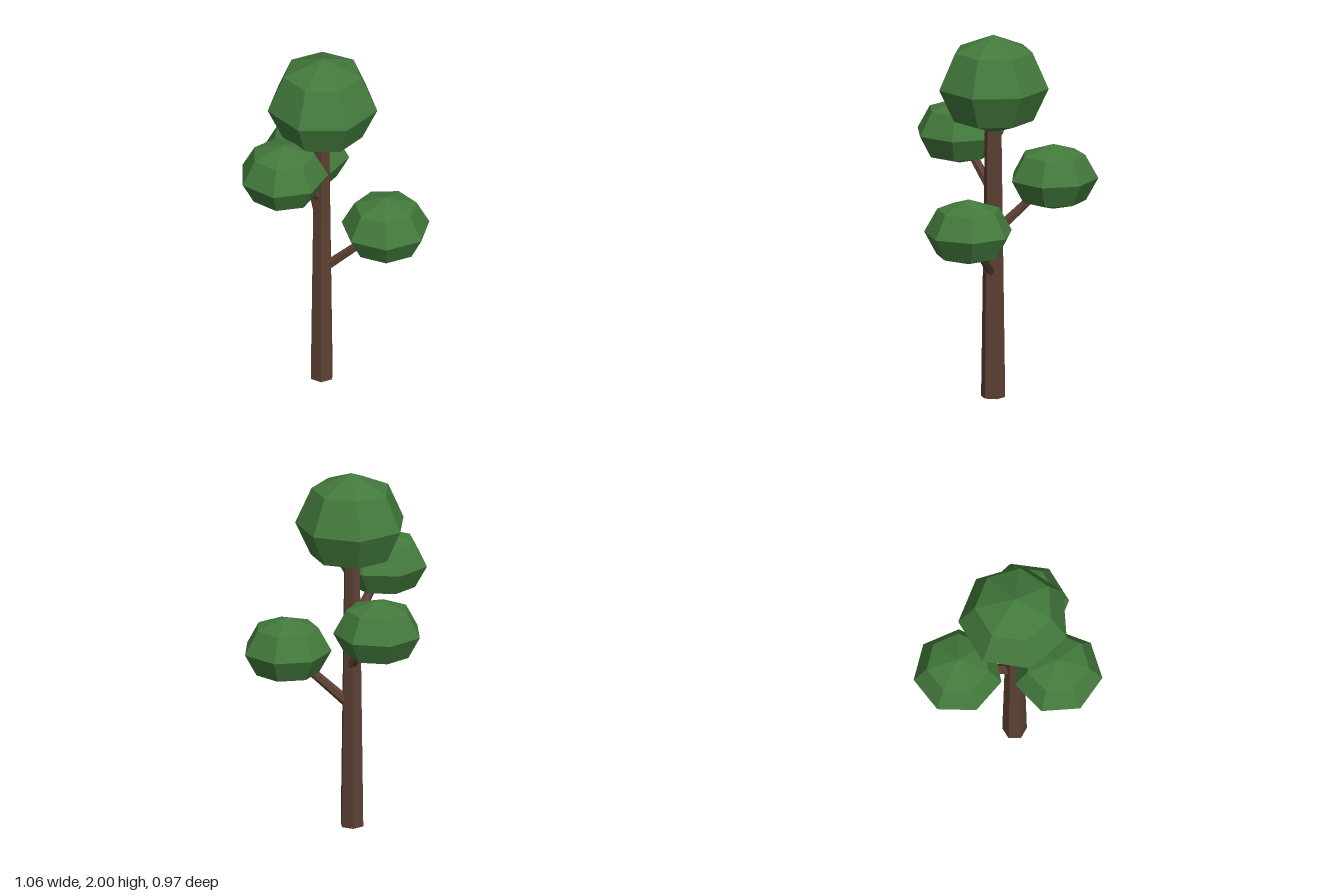
import * as THREE from 'three';

const leafGreen = new THREE.MeshStandardMaterial({ color: 0x437a3c });
const barkBrown = new THREE.MeshStandardMaterial({ color: 0x5c4033 });
leafGreen.name = 'leafGreen';
barkBrown.name = 'barkBrown';

// Gives every face its own normal for the low-poly look
function faceted(geometry) {
  const flat = geometry.toNonIndexed();
  flat.computeVertexNormals();
  return flat;
}

function addPart(group, name, geometry, material) {
  const mesh = new THREE.Mesh(faceted(geometry), material);
  mesh.name = name;
  group.add(mesh);
  return mesh;
}

// Seven-sided ball of leaves, flatter underneath than on top
function crownGeometry(radius, up, down, turn) {
  const profile = [
    [0, -down], [radius * 0.725, -down * 0.707], [radius, 0],
    [radius * 0.707, up * 0.69], [0, up],
  ].map(([r, y]) => new THREE.Vector2(r, y));
  return new THREE.LatheGeometry(profile, 7, turn);
}

export function createModel() {
  const tree = new THREE.Group();
  tree.name = 'tree';

  // Tapered hexagonal trunk, with corners towards +x and -x
  const trunkGeometry = new THREE.CylinderGeometry(0.044, 0.066, 1.6, 6, 1, false, Math.PI / 2);
  addPart(tree, 'trunk', trunkGeometry, barkBrown).position.set(-0.04, 0.8, -0.037);

  // Crown on top of the trunk
  addPart(tree, 'topCrown', crownGeometry(0.301, 0.287, 0.253, 0.123), leafGreen)
    .position.set(-0.037, 1.713, -0.04);

  // Three side limbs, each a branch that ends inside its crown
  const limbs = [
    { name: 'left', start: [-0.02, 0.695, -0.045], crown: [0.289, 0.987, -0.158], turn: 0.585 },
    { name: 'back', start: [-0.05, 0.925, -0.06], crown: [-0.286, 1.199, -0.249], turn: 0.25 },
    { name: 'front', start: [-0.045, 1.13, -0.03], crown: [-0.096, 1.403, 0.257], turn: 0.35 },
  ];
  const up = new THREE.Vector3(0, 1, 0);
  for (const { name, start, crown, turn } of limbs) {
    const from = new THREE.Vector3(...start);
    const to = new THREE.Vector3(...crown);
    const length = from.distanceTo(to);
    const branch = addPart(tree, name + 'Branch',
      new THREE.CylinderGeometry(0.021, 0.029, length, 6), barkBrown);
    branch.position.lerpVectors(from, to, 0.5);
    branch.quaternion.setFromUnitVectors(up, to.sub(from).normalize());
    addPart(tree, name + 'Crown', crownGeometry(0.241, 0.186, 0.172, turn), leafGreen)
      .position.set(...crown);
  }
  return tree;
}
